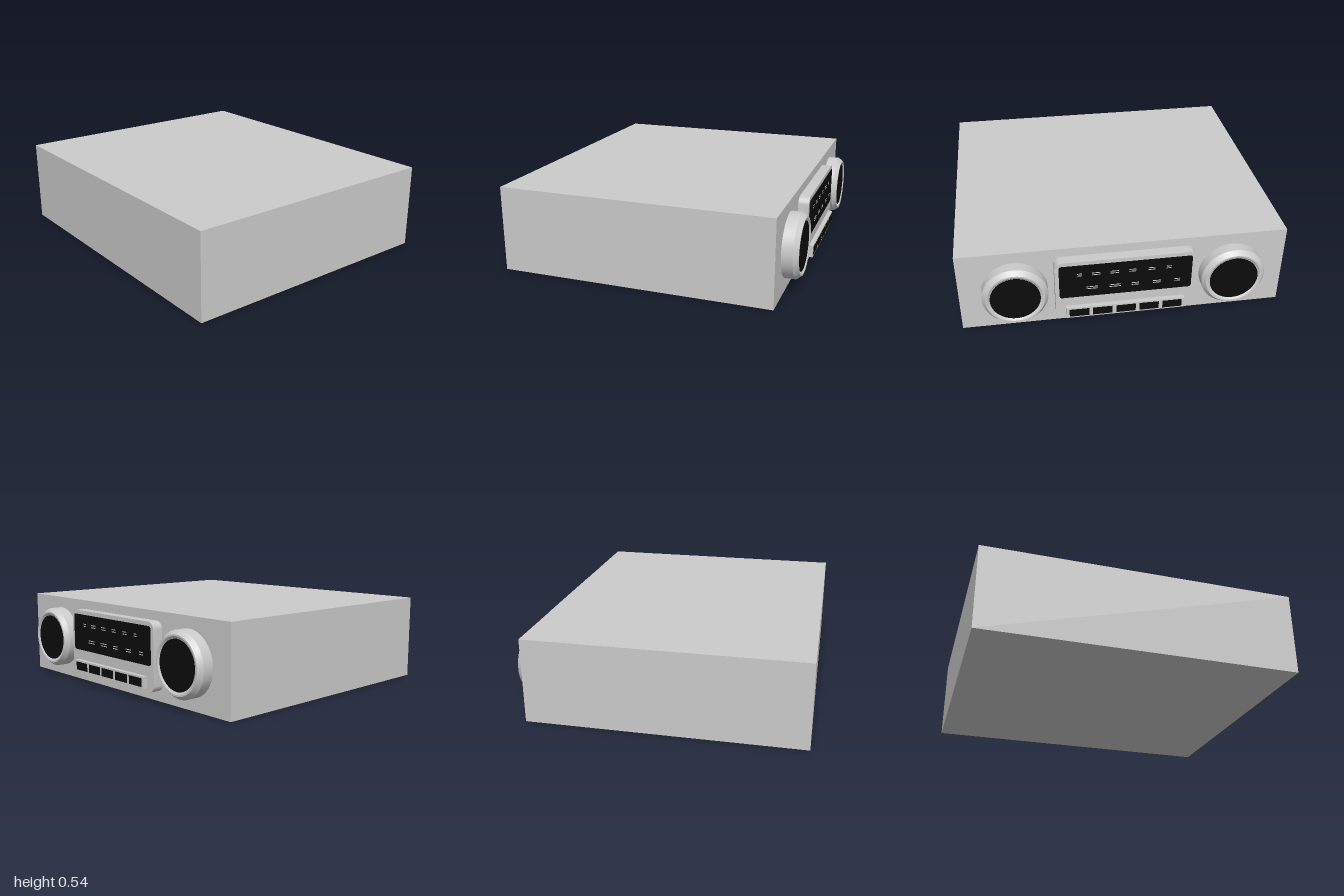
import * as THREE from 'three';
import { toCreasedNormals } from 'three/addons/utils/BufferGeometryUtils.js';

const grey = new THREE.MeshStandardMaterial({ color: 0xcccccc });
const black = new THREE.MeshStandardMaterial({ color: 0x0c0c0c });

function add(parent, name, geometry, material, x = 0, y = 0, z = 0) {
  const mesh = new THREE.Mesh(geometry, material);
  mesh.name = name;
  mesh.position.set(x, y, z);
  parent.add(mesh);
  return mesh;
}

// Box given by its limits on each axis
function box(parent, name, material, [x0, x1], [y0, y1], [z0, z1]) {
  return add(parent, name, new THREE.BoxGeometry(x1 - x0, y1 - y0, z1 - z0), material,
    (x0 + x1) / 2, (y0 + y1) / 2, (z0 + z1) / 2);
}

// Rounded panel facing +x, its back at x = 0
function panel(width, height, radius, depth) {
  const w = width / 2, h = height / 2, r = radius, s = new THREE.Shape();
  s.absarc(w - r, h - r, r, 0, Math.PI / 2);
  s.absarc(r - w, h - r, r, Math.PI / 2, Math.PI);
  s.absarc(r - w, r - h, r, Math.PI, Math.PI * 1.5);
  s.absarc(w - r, r - h, r, Math.PI * 1.5, Math.PI * 2);
  const g = new THREE.ExtrudeGeometry(s, { depth, bevelEnabled: false, curveSegments: 8 });
  return toCreasedNormals(g.rotateY(Math.PI / 2), 0.6);
}

// Round knob with chamfered rim and a black, slightly sunken face
function knob(name, z) {
  const g = new THREE.Group();
  g.name = name;
  const profile = [[0.198, 0], [0.198, 0.068], [0.175, 0.097], [0.165, 0.097], [0.152, 0.088], [0, 0.088]]
    .map(([r, h]) => new THREE.Vector2(r, h));
  add(g, 'knobRim', toCreasedNormals(new THREE.LatheGeometry(profile, 48), 0.4), grey);
  add(g, 'knobFace', new THREE.CylinderGeometry(0.15, 0.15, 0.006, 48), black, 0, 0.088, 0);
  g.rotation.z = -Math.PI / 2;
  g.position.set(0.81, 0.27, z);
  return g;
}

export function createModel() {
  const model = new THREE.Group();
  model.name = 'carRadio';

  box(model, 'case', grey, [-0.91, 0.81], [0, 0.54], [-1, 1]);
  model.add(knob('leftKnob', 0.665), knob('rightKnob', -0.665));

  // Face plate with black dial window
  add(model, 'facePlate', panel(0.855, 0.42, 0.045, 0.065), grey, 0.81, 0.273, 0);
  add(model, 'dialWindow', panel(0.805, 0.235, 0.015, 0.006), black, 0.873, 0.34, 0);

  // Double dashes of the two tuning scales: [y, list of [z, length]]
  const scales = [
    [0.39, [[0.28, 0.03], [0.18, 0.05], [0.07, 0.05], [-0.04, 0.04], [-0.155, 0.04], [-0.26, 0.03]]],
    [0.287, [[0.205, 0.07], [0.067, 0.07], [-0.055, 0.045], [-0.19, 0.05], [-0.315, 0.035]]],
  ];
  for (const [y, dashes] of scales)
    for (const [z, length] of dashes)
      for (const dy of [-0.007, 0.007])
        add(model, 'scaleMark', new THREE.BoxGeometry(0.002, 0.005, length), grey, 0.8795, y + dy, z);

  // Push-button row: grey surround with five black keys
  box(model, 'buttonFrame', grey, [0.87, 0.903], [0.083, 0.157], [-0.362, 0.367]);
  for (let i = 0; i < 5; i++) {
    const z = 0.288 - i * 0.1433;
    box(model, 'pushButton', black, [0.89, 0.906], [0.094, 0.146], [z - 0.06, z + 0.06]);
  }
  return model;
}
